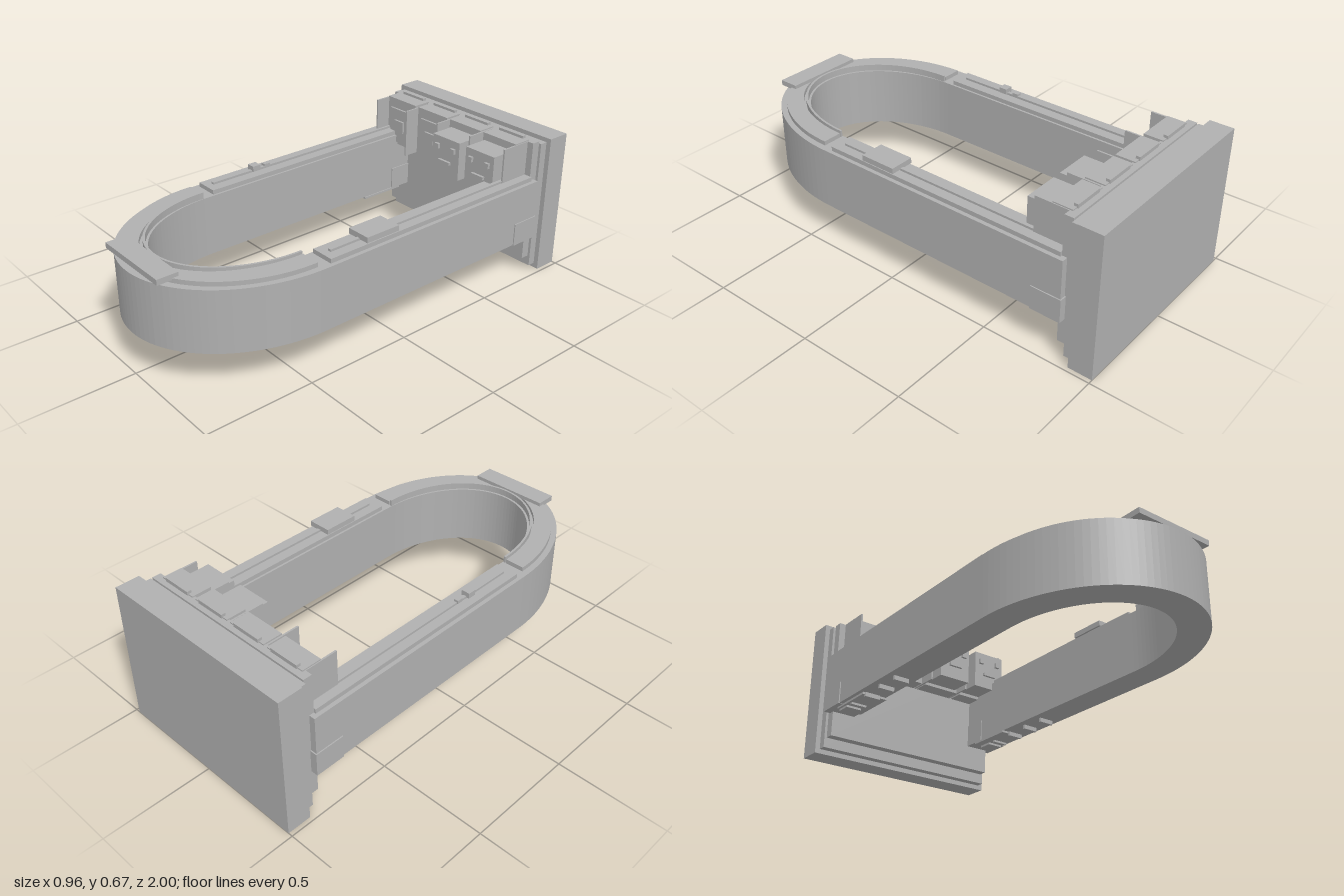
import * as THREE from 'three';

export function createModel() {
  const model = new THREE.Group();
  const grey = new THREE.MeshStandardMaterial({ name: 'plain grey', color: 0xb0b0b0, flatShading: true });

  const add = (name, geometry) => {
    const mesh = new THREE.Mesh(geometry, grey);
    mesh.name = name;
    model.add(mesh);
    return mesh;
  };
  // Box given by its limits on each axis
  const box = (name, x0, x1, y0, y1, z0, z1) => {
    const g = new THREE.BoxGeometry(x1 - x0, y1 - y0, z1 - z0);
    g.translate((x0 + x1) / 2, (y0 + y1) / 2, (z0 + z1) / 2);
    return add(name, g);
  };
  // Same box on the left and right arms
  const pair = (name, x0, x1, ...rest) => {
    box(name + 'Left', x0, x1, ...rest);
    box(name + 'Right', -x1, -x0, ...rest);
  };
  // U-shaped band: straight from zBack to zBend, then half an ellipse
  const band = (name, rxOut, rzOut, rxIn, rzIn, zBack, zBend, y0, y1) => {
    const s = new THREE.Shape();
    s.moveTo(rxOut, zBack);
    s.lineTo(rxOut, zBend);
    s.absellipse(0, zBend, rxOut, rzOut, 0, Math.PI, false, 0);
    s.lineTo(-rxOut, zBack);
    s.lineTo(-rxIn, zBack);
    s.lineTo(-rxIn, zBend);
    s.absellipse(0, zBend, rxIn, rzIn, Math.PI, 0, true, 0);
    s.lineTo(rxIn, zBack);
    const g = new THREE.ExtrudeGeometry(s, { depth: y1 - y0, bevelEnabled: false, curveSegments: 28 });
    g.rotateX(Math.PI / 2);
    g.translate(0, y1, 0);
    return add(name, g);
  };

  // Stepped back wall
  box('backSlab', -0.48, 0.48, 0, 0.66, -1, -0.89);
  box('middleSlab', -0.457, 0.457, 0.022, 0.64, -0.89, -0.853);
  box('frontSlab', -0.445, 0.445, 0.07, 0.65, -0.853, -0.812);

  // U-shaped body with its rails
  band('loopBody', 0.473, 0.6, 0.337, 0.463, -0.835, 0.395, 0.19, 0.47);
  band('curvedPlate', 0.443, 0.54, 0.353, 0.475, 0.42, 0.421, 0.47, 0.49);
  band('innerLip', 0.349, 0.457, 0.339, 0.447, 0.42, 0.421, 0.47, 0.5);
  pair('armPlate', 0.347, 0.455, 0.47, 0.49, -0.812, 0.365);
  pair('armRail', 0.395, 0.411, 0.49, 0.5, -0.8, 0.33);
  box('frontPlate', -0.19, 0.19, 0.482, 0.507, 0.88, 0.975);

  // Fittings on top of the arms
  box('railPlate', 0.345, 0.457, 0.495, 0.52, 0.01, 0.18);
  box('railBlock', -0.425, -0.385, 0.495, 0.52, 0.08, 0.12);
  box('railKnob', -0.416, -0.394, 0.495, 0.51, 0.02, 0.05);

  // Wall brackets and ribs under the arms
  pair('armBracket', 0.332, 0.478, 0.188, 0.295, -0.84, -0.7);
  pair('underPlate', 0.332, 0.455, 0.18, 0.19, -0.75, -0.52);
  for (const z of [-0.28, -0.4, -0.52, -0.64]) {
    pair('underRib', 0.37, 0.445, 0.17, 0.19, z - 0.006, z + 0.006);
  }
  pair('underBlock', 0.37, 0.445, 0.17, 0.182, -0.75, -0.68);

  // Four bays on the wall, separated by thin dividers
  for (let i = 0; i < 5; i++) {
    const x = -0.41 + i * 0.205;
    box('divider', x - 0.004, x + 0.004, 0.42, 0.65, -0.812, -0.66);
  }
  for (let i = 0; i < 4; i++) {
    const c = -0.315 + i * 0.21;
    box('bayPanel', c - 0.095, c + 0.095, 0.42, 0.64, -0.812, -0.735);
    box('bayLintel', c - 0.095, c + 0.095, 0.64, 0.655, -0.825, -0.735);
    box('bayCap', c - 0.07, c + 0.07, 0.645, 0.667, -0.83, -0.81);
    if (i < 2) {
      // Door with a small square
      box('door', c - 0.067, c + 0.067, 0.435, 0.607, -0.736, -0.725);
      box('doorSquare', c - 0.03, c + 0.03, 0.495, 0.552, -0.726, -0.715);
    } else {
      // Block head with eyes and mouth
      const h = i === 2 ? 0.105 : 0.312;
      box('head', h - 0.083, h + 0.083, 0.435, 0.62, -0.75, -0.615);
      for (const s of [-1, 1]) {
        const e = h + s * 0.049;
        box('eye', e - 0.012, e + 0.012, 0.56, 0.584, -0.617, -0.602);
      }
      box('mouth', h - 0.035, h + 0.035, 0.498, 0.512, -0.617, -0.602);
    }
  }
  return model;
}
